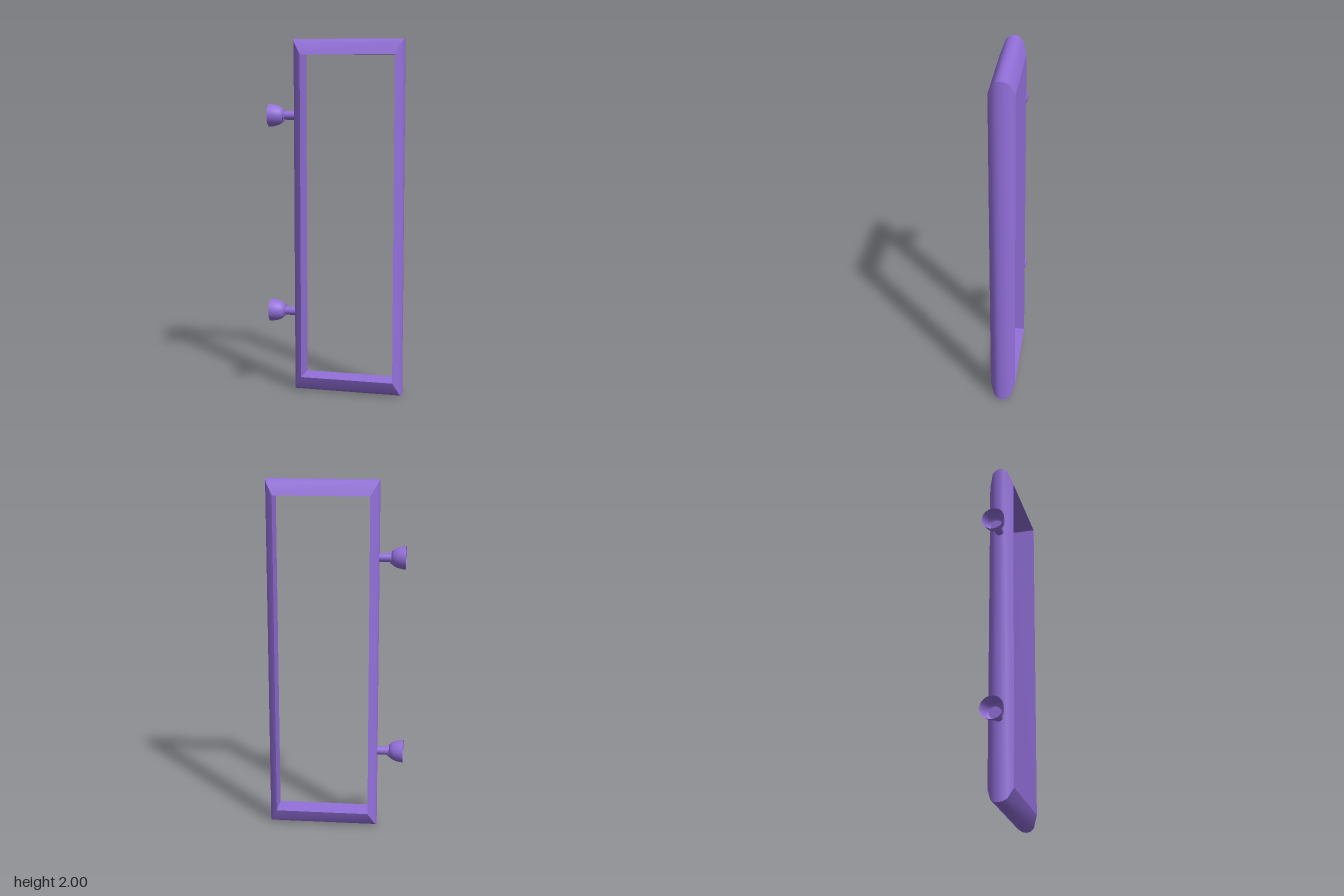
import * as THREE from 'three';

// Mitred frame: the section [u, z] runs from the inner edge (u = 0) to the outer edge (u = 1)
const INNER = { x0: -0.19, x1: 0.34, y0: 0.085, y1: 1.915 };
const OUTER = { x0: -0.24, x1: 0.384, y0: 0, y1: 2 };
const CORNERS = [['x0', 'y0'], ['x1', 'y0'], ['x1', 'y1'], ['x0', 'y1']];
const DOME = [
  [0, 0.07], [0.77, 0.045], [0.97, 0.02], [1, 0],
  [0.97, -0.02], [0.77, -0.045], [0, -0.07],
];
const WALL = [[0, -0.07], [0, 0.07]];

// One straight bar between two neighbouring corners
function barStrip(side, section) {
  const positions = [];
  const indices = [];
  for (const [u, z] of section) {
    for (const [kx, ky] of [CORNERS[side], CORNERS[(side + 1) % 4]]) {
      positions.push(
        THREE.MathUtils.lerp(INNER[kx], OUTER[kx], u),
        THREE.MathUtils.lerp(INNER[ky], OUTER[ky], u),
        z,
      );
    }
  }
  for (let i = 0; i < section.length - 1; i++) {
    const a = 2 * i, b = a + 1, c = a + 2, d = a + 3;
    indices.push(c, d, b, c, b, a);
  }
  const geometry = new THREE.BufferGeometry();
  geometry.setAttribute('position', new THREE.Float32BufferAttribute(positions, 3));
  geometry.setIndex(indices);
  geometry.computeVertexNormals();
  return geometry;
}

export function createModel() {
  const purple = new THREE.MeshStandardMaterial({ color: 0x9370db, side: THREE.DoubleSide });
  purple.name = 'purple';
  const model = new THREE.Group();
  model.name = 'frameWithMounts';

  const add = (parent, name, geometry) => {
    const mesh = new THREE.Mesh(geometry, purple);
    mesh.name = name;
    parent.add(mesh);
    return mesh;
  };

  // Rounded outer faces and flat inner walls of the four bars
  const frame = new THREE.Group();
  frame.name = 'frame';
  model.add(frame);
  ['bottom', 'left', 'top', 'right'].forEach((name, side) => {
    add(frame, name + 'Bar', barStrip(side, DOME));
    add(frame, name + 'InnerWall', barStrip(side, WALL));
  });

  // Suction-cup mounts: each is turned about its own y axis, then laid along -x
  const cupProfile = [
    [0, 0.298], [0.033, 0.305], [0.045, 0.318], [0.053, 0.333],
    [0.059, 0.352], [0.0625, 0.37], [0.0645, 0.386],
  ].map(([r, h]) => new THREE.Vector2(r, h));

  for (const [name, y] of [['lowerMount', 0.455], ['upperMount', 1.577]]) {
    const mount = new THREE.Group();
    mount.name = name;
    mount.position.y = y;
    mount.rotation.z = Math.PI / 2;
    model.add(mount);
    add(mount, 'stem', new THREE.CylinderGeometry(0.024, 0.024, 0.07, 24)).position.y = 0.267;
    add(mount, 'collar', new THREE.CylinderGeometry(0.034, 0.034, 0.007, 24)).position.y = 0.303;
    add(mount, 'cup', new THREE.LatheGeometry(cupProfile, 32));
  }
  return model;
}
